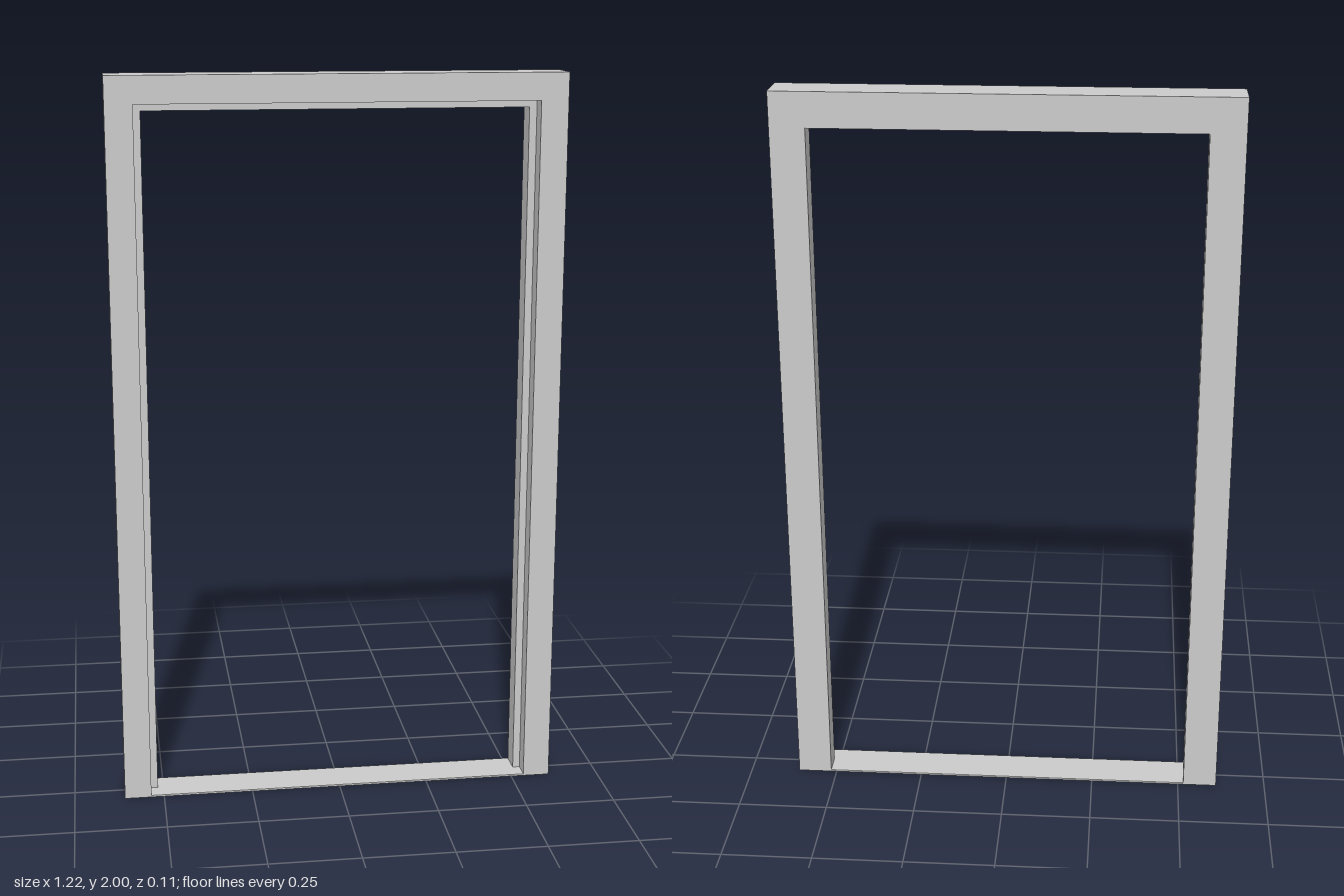
import * as THREE from 'three';

const HALF_WIDTH = 0.61, HEIGHT = 2, HALF_DEPTH = 0.057;
const REBATE = 0.074, STOP = 0.094, STOP_Z = 0.007, SILL = 0.005;

// Stepped cross-section: [inset from the outer edge, z]
const PROFILE = [
  [0, HALF_DEPTH], [0, -HALF_DEPTH], [STOP, -HALF_DEPTH],
  [STOP, STOP_Z], [REBATE, STOP_Z], [REBATE, HALF_DEPTH],
];

// Mitred cross-section at one corner of the frame
function cornerSection(side, isTop) {
  return PROFILE.map(([inset, z]) => [
    side * (HALF_WIDTH - inset),
    isTop ? HEIGHT - inset : Math.min(inset, SILL),
    z,
  ]);
}

// One member of the frame, lofted between two corner sections
function member(name, a, b, material, skip = -1) {
  const positions = [];
  for (let i = 0; i < PROFILE.length; i++) {
    if (i === skip) continue;
    const j = (i + 1) % PROFILE.length;
    for (const p of [a[i], b[i], b[j], a[i], b[j], a[j]]) positions.push(...p);
  }
  const geometry = new THREE.BufferGeometry();
  geometry.setAttribute('position', new THREE.Float32BufferAttribute(positions, 3));
  geometry.computeVertexNormals();
  const mesh = new THREE.Mesh(geometry, material);
  mesh.name = name;
  return mesh;
}

export function createModel() {
  const group = new THREE.Group();
  group.name = 'doorFrame';
  const material = new THREE.MeshStandardMaterial({ color: 0xcccccc, flatShading: true });

  const bottomRight = cornerSection(-1, false), topRight = cornerSection(-1, true);
  const topLeft = cornerSection(1, true), bottomLeft = cornerSection(1, false);

  group.add(
    member('rightJamb', bottomRight, topRight, material),
    member('head', topRight, topLeft, material),
    member('leftJamb', topLeft, bottomLeft, material),
    // The thin threshold is flat, so it has no step face
    member('threshold', bottomLeft, bottomRight, material, 3),
  );
  return group;
}
